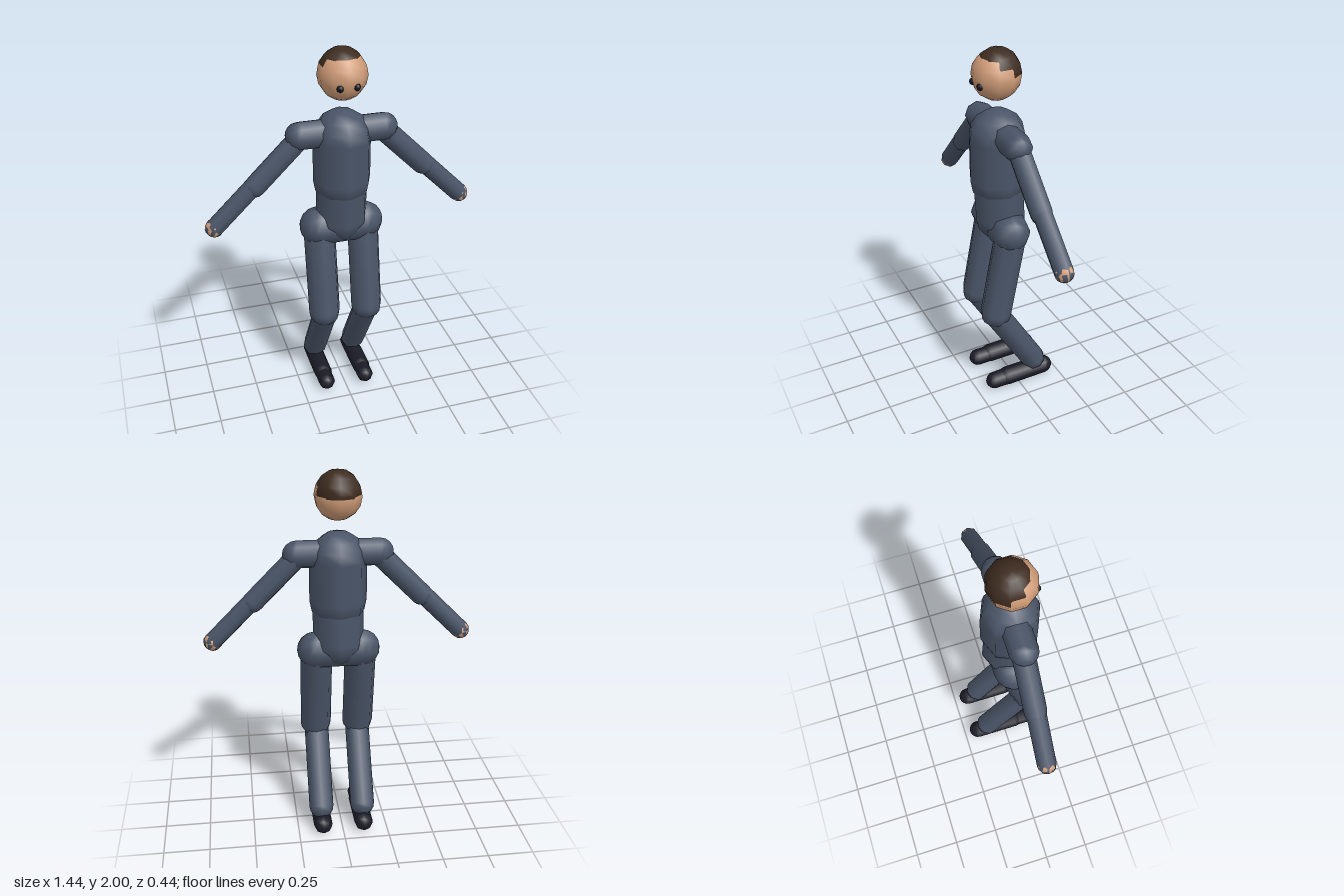
import * as THREE from 'three';

const mat = (name, color) => {
  const m = new THREE.MeshStandardMaterial({ color });
  m.name = name;
  return m;
};

export function createModel() {
  const suit = mat('slate suit', 0x4a5568);
  const skin = mat('skin', 0xd09c78);
  const hairBrown = mat('dark brown hair', 0x3d2b1f);
  const shoeBlack = mat('shoe black', 0x1c1c28);
  const eyeBlack = mat('eye black', 0x14141c);

  const model = new THREE.Group();
  model.name = 'figure';
  const up = new THREE.Vector3(0, 1, 0);

  // Eight-sided capsule whose cap centres sit at a and b
  function limb(name, a, b, radius, material) {
    const p = new THREE.Vector3(...a), q = new THREE.Vector3(...b);
    const dir = q.clone().sub(p);
    const mesh = new THREE.Mesh(new THREE.CapsuleGeometry(radius, dir.length(), 4, 8), material);
    mesh.position.copy(p).add(q).multiplyScalar(0.5);
    mesh.quaternion.setFromUnitVectors(up, dir.normalize());
    mesh.name = name;
    model.add(mesh);
    return mesh;
  }

  function ball(name, at, radius, material, sides = 8) {
    const mesh = new THREE.Mesh(new THREE.SphereGeometry(radius, sides, 8), material);
    mesh.position.set(...at);
    mesh.name = name;
    model.add(mesh);
    return mesh;
  }

  // Head, with the hair as an offset ball showing over the crown and back
  ball('head', [0, 1.865, 0.067], 0.126, skin, 10).rotation.y = Math.PI / 2;
  ball('hair', [0, 1.88, 0.059], 0.12, hairBrown, 10).rotation.y = Math.PI / 2;

  // Trunk
  limb('chest', [0, 1.31, 0.062], [0, 1.532, 0.062], 0.153, suit);
  limb('abdomen', [0, 1.08, 0.05], [0, 1.25, 0.06], 0.137, suit);
  limb('pelvis', [-0.12, 1.035, 0.05], [0.12, 1.035, 0.05], 0.105, suit);

  for (const [side, s] of [['left', 1], ['right', -1]]) {
    ball(side + 'Eye', [s * 0.042, 1.834, 0.172], 0.018, eyeBlack);

    // Arm
    limb(side + 'Shoulder', [s * 0.08, 1.567, 0.06], [s * 0.217, 1.567, 0.06], 0.074, suit);
    limb(side + 'UpperArm', [s * 0.22, 1.55, 0.056], [s * 0.45, 1.32, 0.053], 0.058, suit);
    limb(side + 'Forearm', [s * 0.45, 1.33, 0.053], [s * 0.669, 1.112, 0.048], 0.05, suit);
    // Hand almost hidden in the cuff, peeking out at the tip
    ball(side + 'Hand', [s * 0.67, 1.111, 0.048], 0.0495, skin);

    // Leg
    limb(side + 'Thigh', [s * 0.12, 1.0, 0.052], [s * 0.12, 0.546, 0.138], 0.086, suit);
    limb(side + 'Shin', [s * 0.117, 0.53, 0.14], [s * 0.117, 0.13, -0.1], 0.068, suit);

    // Shoe
    limb(side + 'Shoe', [s * 0.115, 0.053, -0.168], [s * 0.115, 0.053, 0.07], 0.052, shoeBlack);
    limb(side + 'Toe', [s * 0.115, 0.05, 0.05], [s * 0.115, 0.05, 0.15], 0.047, shoeBlack);
  }
  return model;
}
